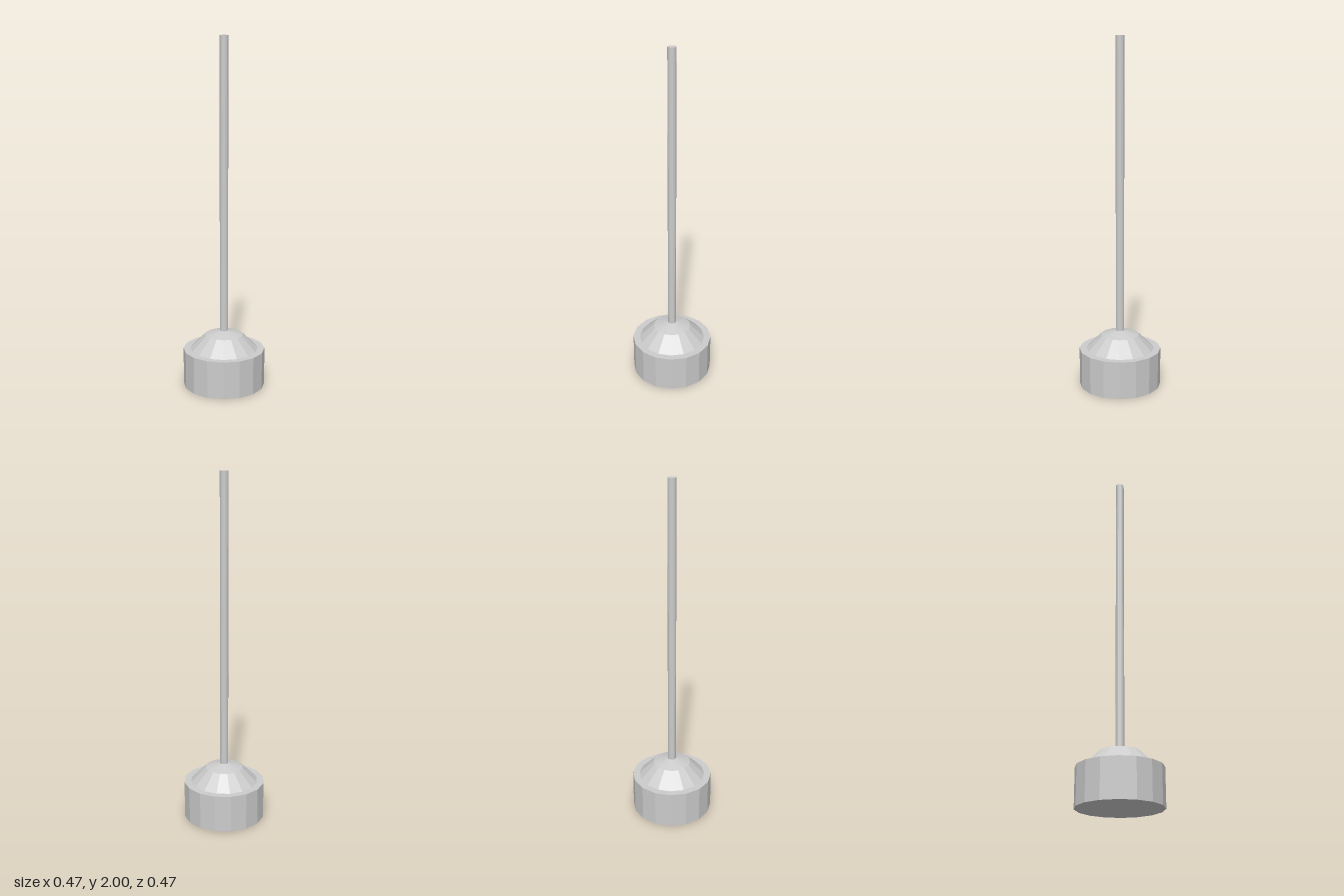
import * as THREE from 'three';

const SIDES = 16;

export function createModel() {
  const group = new THREE.Group();
  const material = new THREE.MeshStandardMaterial({ color: 0xcccccc, flatShading: true });

  const add = (name, geometry, y = 0) => {
    const mesh = new THREE.Mesh(geometry, material);
    mesh.name = name;
    mesh.position.y = y;
    group.add(mesh);
  };

  // Heavy faceted drum at the bottom
  const baseHeight = 0.216;
  add('base', new THREE.CylinderGeometry(0.237, 0.237, baseHeight, SIDES), baseHeight / 2);

  // Shallow faceted dome, closed underneath by the base
  const profile = [[0.197, baseHeight], [0.11, 0.3], [0, 0.331]];
  add('dome', new THREE.LatheGeometry(profile.map(([r, y]) => new THREE.Vector2(r, y)), SIDES));

  // Slender upright pole rising out of the dome
  const poleBottom = 0.3, poleTop = 2;
  add('pole', new THREE.CylinderGeometry(0.024, 0.024, poleTop - poleBottom, SIDES), (poleTop + poleBottom) / 2);

  return group;
}
